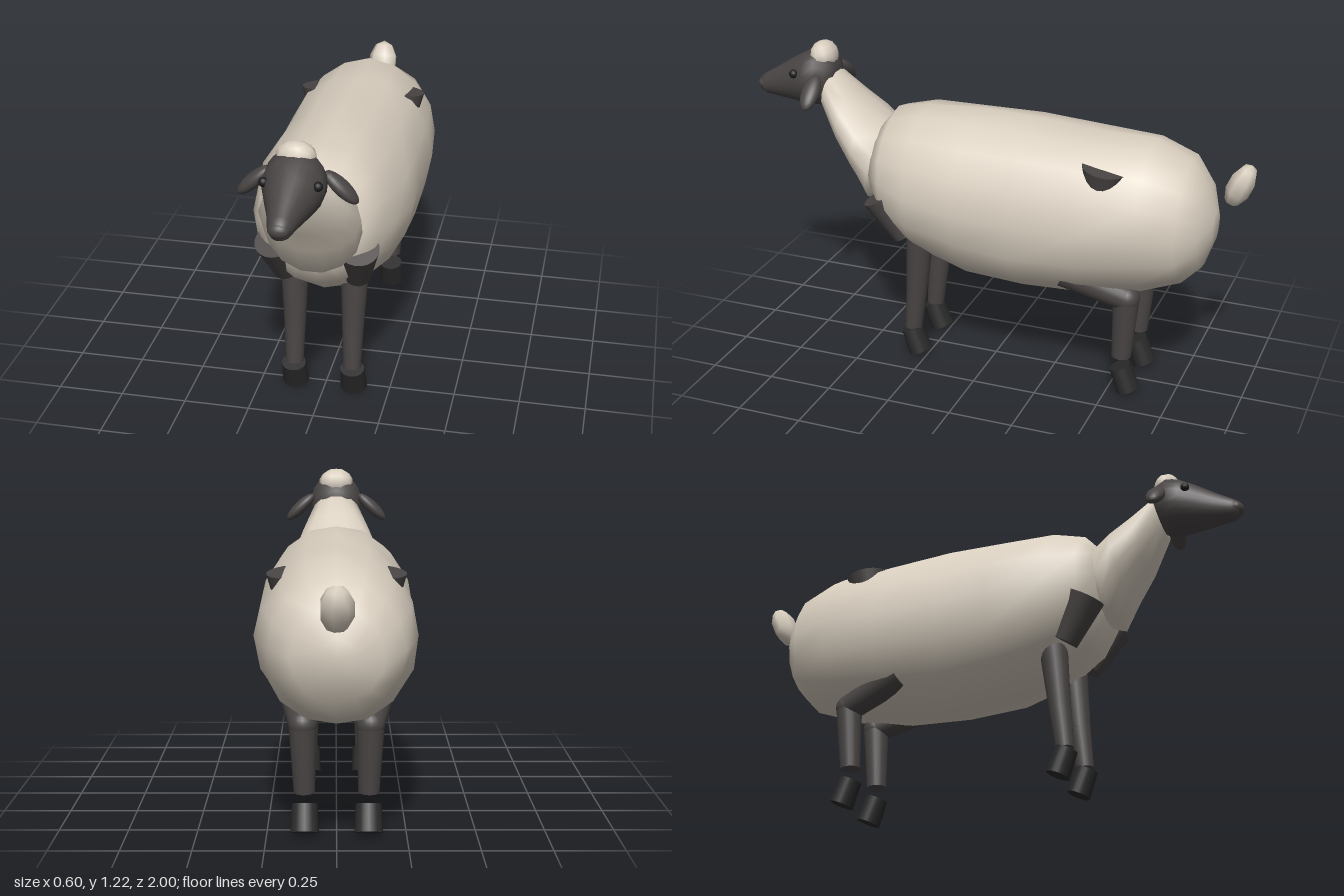
import * as THREE from 'three';

const wool = new THREE.MeshStandardMaterial({ color: 0xd8cebf });
wool.name = 'wool';
const skin = new THREE.MeshStandardMaterial({ color: 0x4a4545 });
skin.name = 'darkSkin';
const hoofMat = new THREE.MeshStandardMaterial({ color: 0x2b2a2a });
hoofMat.name = 'hoof';
const eyeMat = new THREE.MeshStandardMaterial({ color: 0x1c1c1e });
eyeMat.name = 'eye';

function add(parent, name, geometry, material) {
  const mesh = new THREE.Mesh(geometry, material);
  mesh.name = name;
  parent.add(mesh);
  return mesh;
}

// Closed skin over elliptical rings [z, y, halfWidth, halfHeight], listed back to front.
// tilt leans each ring's top backwards; lump makes the surface slightly uneven.
function loft(rings, sides, tilt = 0, lump = 0) {
  const pos = [], index = [], last = rings.length - 1;
  rings.forEach(([z, y, rx, ry], i) => {
    for (let j = 0; j < sides; j++) {
      const t = (j / sides) * Math.PI * 2;
      const k = 1 + lump * Math.sin(i * 2.3 + j * 1.9);
      const v = Math.sin(t) * ry * k;
      pos.push(Math.cos(t) * rx * k, y + v * Math.cos(tilt), z - v * Math.sin(tilt));
    }
  });
  for (let i = 0; i < last; i++) {
    for (let j = 0; j < sides; j++) {
      const n = (j + 1) % sides;
      const a = i * sides + j, b = i * sides + n, c = a + sides, d = b + sides;
      index.push(a, b, c, b, d, c);
    }
  }
  // end caps
  [0, last].forEach((i) => {
    const centre = pos.length / 3;
    pos.push(0, rings[i][1], rings[i][0]);
    for (let j = 0; j < sides; j++) {
      const a = i * sides + j, b = i * sides + ((j + 1) % sides);
      if (i) index.push(centre, a, b);
      else index.push(centre, b, a);
    }
  });
  const g = new THREE.BufferGeometry();
  g.setAttribute('position', new THREE.Float32BufferAttribute(pos, 3));
  g.setIndex(index);
  g.computeVertexNormals();
  return g;
}

// Tapered cylinder from the upper point to the lower point
function limb(parent, name, top, bottom, rTop, rBottom, material) {
  const a = new THREE.Vector3(...top), b = new THREE.Vector3(...bottom);
  const mesh = add(parent, name, new THREE.CylinderGeometry(rTop, rBottom, a.distanceTo(b), 20), material);
  mesh.position.copy(a).add(b).multiplyScalar(0.5);
  mesh.quaternion.setFromUnitVectors(new THREE.Vector3(0, 1, 0), a.sub(b).normalize());
  return mesh;
}

function ellipsoid(parent, name, centre, radii, material, w = 20, h = 14) {
  const mesh = add(parent, name, new THREE.SphereGeometry(1, w, h), material);
  mesh.position.set(...centre);
  mesh.scale.set(...radii);
  return mesh;
}

export function createModel() {
  const sheep = new THREE.Group();
  sheep.name = 'sheep';

  // Fleece
  add(sheep, 'body', loft([
    [-0.86, 0.70, 0.06, 0.06],
    [-0.825, 0.70, 0.16, 0.16],
    [-0.76, 0.71, 0.235, 0.24],
    [-0.62, 0.715, 0.275, 0.295],
    [-0.40, 0.70, 0.298, 0.32],
    [-0.15, 0.695, 0.293, 0.338],
    [0.08, 0.71, 0.297, 0.328],
    [0.28, 0.735, 0.268, 0.295],
    [0.40, 0.76, 0.225, 0.24],
    [0.46, 0.775, 0.17, 0.155],
  ], 16, 0, 0.015), wool);

  add(sheep, 'neck', loft([
    [0.40, 0.77, 0.15, 0.13],
    [0.465, 0.78, 0.178, 0.165],
    [0.525, 0.86, 0.185, 0.13],
    [0.60, 0.94, 0.15, 0.11],
    [0.68, 1.045, 0.10, 0.08],
  ], 14, 0.22), wool);

  const tail = ellipsoid(sheep, 'tail', [0, 0.876, -0.941], [0.062, 0.09, 0.048], wool, 7, 5);
  tail.rotation.x = -0.42;

  // Head
  add(sheep, 'head', loft([
    [0.655, 1.085, 0.05, 0.055],
    [0.675, 1.088, 0.088, 0.095],
    [0.72, 1.088, 0.108, 0.117],
    [0.77, 1.08, 0.107, 0.108],
    [0.83, 1.065, 0.085, 0.09],
    [0.90, 1.045, 0.058, 0.065],
    [0.96, 1.03, 0.042, 0.044],
    [0.985, 1.028, 0.03, 0.03],
  ], 24), skin);
  ellipsoid(sheep, 'nose', [0, 1.03, 0.97], [0.038, 0.029, 0.03], skin);
  const cap = ellipsoid(sheep, 'woolCap', [0, 1.172, 0.71], [0.072, 0.058, 0.052], wool, 10, 7);
  cap.rotation.x = 0.3;

  for (const s of [1, -1]) {
    const side = s > 0 ? 'left' : 'right';
    const ear = ellipsoid(sheep, side + 'Ear', [s * 0.15, 1.068, 0.70], [0.078, 0.026, 0.036], skin);
    ear.rotation.z = -s * 0.76;
    ellipsoid(sheep, side + 'Eye', [s * 0.092, 1.112, 0.80], [0.017, 0.017, 0.017], eyeMat, 12, 8);

    // Front leg, with the shoulder breaking through the fleece
    const front = new THREE.Group();
    front.name = side + 'FrontLeg';
    sheep.add(front);
    limb(front, 'shoulder', [s * 0.155, 0.69, 0.415], [s * 0.135, 0.53, 0.325], 0.076, 0.05, skin);
    limb(front, 'upperLeg', [s * 0.115, 0.56, 0.27], [s * 0.112, 0.28, 0.293], 0.055, 0.041, skin);
    limb(front, 'lowerLeg', [s * 0.112, 0.28, 0.293], [s * 0.112, 0.12, 0.309], 0.041, 0.034, skin);

    // Hind leg, with the hip breaking through the fleece
    const hind = new THREE.Group();
    hind.name = side + 'HindLeg';
    sheep.add(hind);
    limb(hind, 'hip', [s * 0.165, 0.94, -0.48], [s * 0.15, 0.74, -0.45], 0.084, 0.045, skin);
    limb(hind, 'thigh', [s * 0.16, 0.50, -0.33], [s * 0.12, 0.41, -0.565], 0.06, 0.05, skin);
    ellipsoid(hind, 'hock', [s * 0.12, 0.41, -0.565], [0.051, 0.051, 0.051], skin);
    limb(hind, 'lowerLeg', [s * 0.12, 0.41, -0.565], [s * 0.115, 0.16, -0.552], 0.05, 0.038, skin);

    // Tilted hooves
    for (const [leg, z] of [[front, 0.299], [hind, -0.565]]) {
      const hoof = limb(leg, 'hoof', [s * 0.114, 0.115, z + 0.018], [s * 0.114, 0.02, z - 0.018], 0.04, 0.044, hoofMat);
      hoof.scale.x = 1.16;
    }
  }
  return sheep;
}
